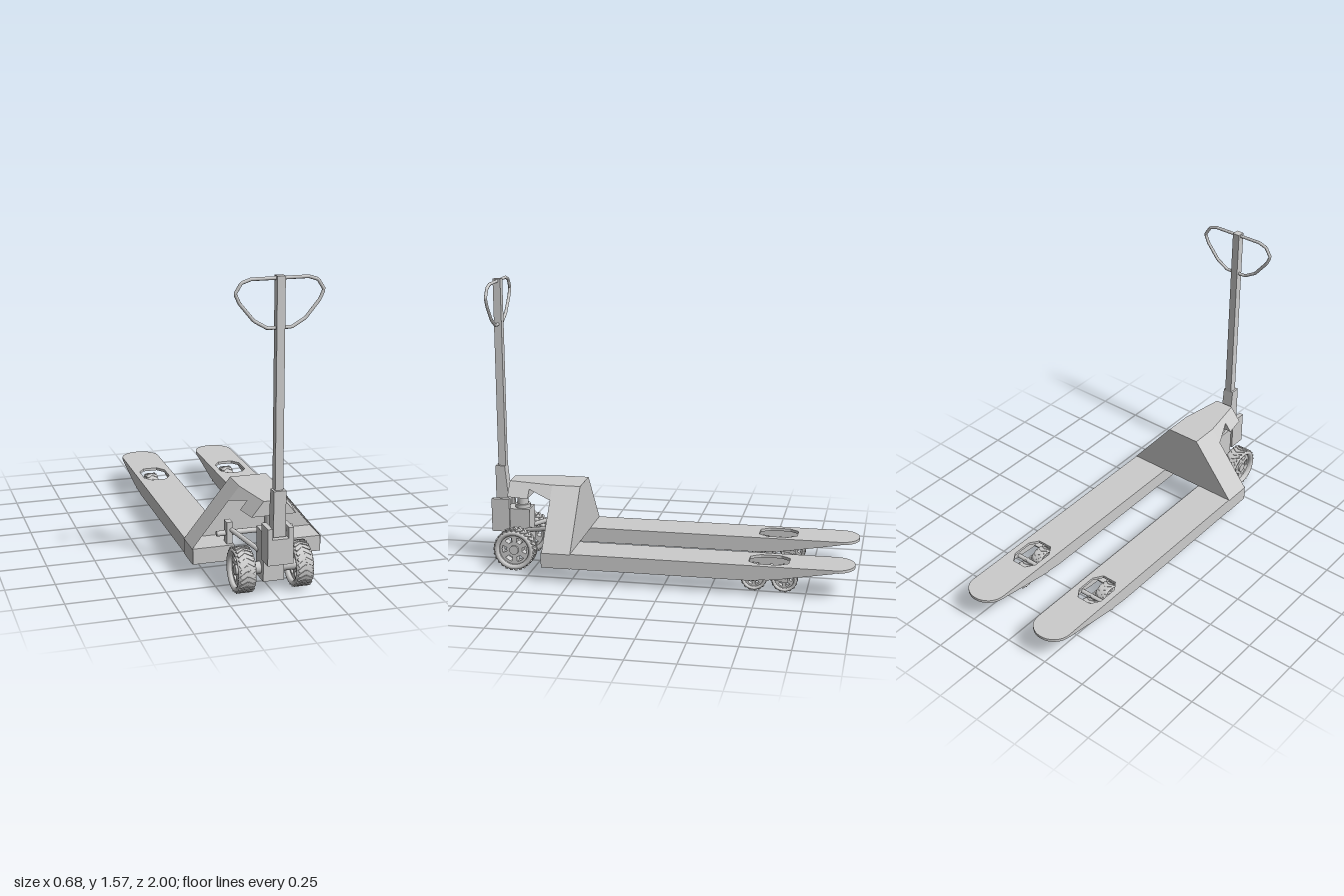
import * as THREE from 'three';
import { mergeGeometries } from 'three/addons/utils/BufferGeometryUtils.js';

const V2 = (x, y) => new THREE.Vector2(x, y);
const V3 = (x, y, z) => new THREE.Vector3(x, y, z);
const steel = new THREE.MeshStandardMaterial({ color: 0xcccccc, side: THREE.DoubleSide });

function add(parent, name, geometry, x = 0, y = 0, z = 0) {
  const mesh = new THREE.Mesh(geometry, steel);
  mesh.name = name;
  mesh.position.set(x, y, z);
  parent.add(mesh);
  return mesh;
}

// Box given by its minimum and maximum on each axis
function block(parent, name, [x0, x1], [y0, y1], [z0, z1]) {
  return add(parent, name, new THREE.BoxGeometry(x1 - x0, y1 - y0, z1 - z0),
    (x0 + x1) / 2, (y0 + y1) / 2, (z0 + z1) / 2);
}

// Cylinder between two points
function rod(parent, name, a, b, r, sides = 16) {
  const mesh = add(parent, name, new THREE.CylinderGeometry(r, r, a.distanceTo(b), sides));
  mesh.position.copy(a).add(b).multiplyScalar(0.5);
  mesh.quaternion.setFromUnitVectors(V3(0, 1, 0), b.clone().sub(a).normalize());
  return mesh;
}

// Flat convex sheet-metal panels, each a list of corners
function sheet(parent, name, panels) {
  const pts = [];
  for (const p of panels)
    for (let i = 1; i < p.length - 1; i++) pts.push(p[0], p[i], p[i + 1]);
  const g = new THREE.BufferGeometry().setFromPoints(pts);
  g.computeVertexNormals();
  return add(parent, name, g);
}

// Side profile (z, y) extruded across x
function sideProfile(parent, name, points, x0, x1) {
  const g = new THREE.ExtrudeGeometry(new THREE.Shape(points.map(([z, y]) => V2(-z, y))),
    { depth: x1 - x0, bevelEnabled: false });
  g.rotateY(Math.PI / 2);
  return add(parent, name, g, x0, 0, 0);
}

// Wheel on the x axis: tyre, chevron tread, pierced disc and hub
function wheel(name, R, w, lugs) {
  const g = new THREE.Group();
  g.name = name;
  const tyre = new THREE.LatheGeometry([
    V2(0.72 * R, -0.36 * w), V2(0.78 * R, -0.47 * w), V2(0.87 * R, -0.5 * w), V2(0.93 * R, -0.45 * w),
    V2(0.965 * R, -0.3 * w), V2(0.975 * R, 0), V2(0.965 * R, 0.3 * w), V2(0.93 * R, 0.45 * w),
    V2(0.87 * R, 0.5 * w), V2(0.78 * R, 0.47 * w), V2(0.72 * R, 0.36 * w), V2(0.72 * R, -0.36 * w),
  ], 40).rotateZ(Math.PI / 2);
  add(g, 'tyre', tyre);

  const tread = [];
  for (let i = 0; i < lugs; i++)
    for (const s of [-1, 1]) {
      const lug = new THREE.BoxGeometry(0.06 * R, 0.5 * w, 0.12 * R);
      lug.rotateX(s * 0.6).translate(0.965 * R, s * 0.2 * w, 0);
      lug.rotateY((i / lugs) * Math.PI * 2).rotateZ(Math.PI / 2);
      tread.push(lug);
    }
  add(g, 'tread', mergeGeometries(tread));

  const disc = new THREE.Shape().absarc(0, 0, 0.74 * R, 0, Math.PI * 2);
  for (let i = 0; i < 6; i++) {
    const a = (i * Math.PI) / 3;
    const hole = new THREE.Path();
    hole.absarc(0, 0, 0.6 * R, a - 0.3, a + 0.3, false);
    hole.absarc(0, 0, 0.38 * R, a + 0.25, a - 0.25, true);
    hole.closePath();
    disc.holes.push(hole);
  }
  const discGeo = new THREE.ExtrudeGeometry(disc, { depth: 0.5 * w, bevelEnabled: false, curveSegments: 10 });
  add(g, 'wheelDisc', discGeo.translate(0, 0, -0.25 * w).rotateY(Math.PI / 2));
  add(g, 'hub', new THREE.CylinderGeometry(0.22 * R, 0.22 * R, 0.75 * w, 20).rotateZ(Math.PI / 2));
  return g;
}

// Hollow fork with slotted top, tapered flanges and tandem load wheels
function fork(cx) {
  const g = new THREE.Group();
  g.name = 'fork';
  const h = 0.107, zf = 0.65;
  const top = new THREE.Shape();
  top.moveTo(-h, -zf);
  top.lineTo(h, -zf);
  top.lineTo(h, 0.9);
  top.absellipse(0, 0.9, h, 0.1, 0, Math.PI, false);
  top.closePath();
  top.holes.push(new THREE.Path([
    [-0.04, 0.45], [0.04, 0.45], [0.074, 0.5], [0.074, 0.61],
    [0.04, 0.66], [-0.04, 0.66], [-0.074, 0.61], [-0.074, 0.5]].map(([x, z]) => V2(x, z))));
  const topGeo = new THREE.ExtrudeGeometry(top, { depth: 0.015, bevelEnabled: false, curveSegments: 8 });
  add(g, 'forkTop', topGeo.rotateX(-Math.PI / 2), 0, 0.152, 0);
  const flange = [[zf, 0.085], [-0.45, 0.085], [-0.6, 0.098], [-0.9, 0.15], [-0.9, 0.16], [zf, 0.16]];
  for (const s of [-1, 1])
    sideProfile(g, 'forkFlange', flange, s * (h - 0.004) - 0.004, s * (h - 0.004) + 0.004);
  block(g, 'forkBottom', [-h, h], [0.085, 0.093], [-0.43, zf]);
  block(g, 'forkEndCap', [-h, h], [0.085, 0.166], [zf - 0.008, zf]);

  for (const z of [-0.475, -0.635]) {
    const w = wheel('loadWheel', 0.07, 0.066, 16);
    w.position.set(0, 0.073, z);
    g.add(w);
    rod(g, 'loadAxle', V3(-0.045, 0.073, z), V3(0.045, 0.073, z), 0.012);
  }
  // Rocker links either side of the wheel pair, and their pivot
  for (const s of [-1, 1])
    sideProfile(g, 'rockerLink', [[-0.455, 0.06], [-0.53, 0.073], [-0.58, 0.073], [-0.655, 0.06],
      [-0.655, 0.087], [-0.6, 0.108], [-0.51, 0.108], [-0.455, 0.087]], s * 0.039 - 0.004, s * 0.039 + 0.004);
  rod(g, 'rockerPivot', V3(-h, 0.1, -0.555), V3(h, 0.1, -0.555), 0.012);
  g.position.x = cx;
  return g;
}

export function createModel() {
  const model = new THREE.Group();
  model.name = 'palletTruck';
  for (const s of [-1, 1]) model.add(fork(s * 0.228));

  // Hollow sloped body, open to the front and below
  const zb = 0.49, zm = 0.645, yt = 0.47, yb = 0.165;
  const body = new THREE.Group();
  body.name = 'body';
  model.add(body);
  const panels = [
    [V3(-0.338, yb, zb), V3(-0.095, yt, zb), V3(0.095, yt, zb), V3(0.338, yb, zb)],
    [V3(-0.095, yt, zb), V3(-0.095, yt, zm), V3(0.095, yt, zm), V3(0.095, yt, zb)],
  ];
  for (const s of [-1, 1]) {
    panels.push([V3(s * 0.095, yt, zb), V3(s * 0.338, yb, zb), V3(s * 0.338, yb, zm), V3(s * 0.095, yt, zm)]);
    panels.push([V3(s * 0.338, yb, zb), V3(s * 0.338, 0.085, zb), V3(s * 0.338, 0.085, zm), V3(s * 0.338, yb, zm)]);
  }
  sheet(body, 'bodyShell', panels);

  // Tapering neck reaching forward over the lift cylinder
  const zh = 0.775, zn = 0.895;
  const n = (s, y, z) => V3(s * (0.095 - (0.043 * (z - zm)) / (zn - zm) + 0.8 * (yt - y)), y, z);
  const neck = [
    [n(-1, yt, zm), n(-1, yt, zn), n(1, yt, zn), n(1, yt, zm)],
    [n(-1, yt, zn), n(-1, 0.395, zn), n(1, 0.395, zn), n(1, yt, zn)],
    [n(-1, 0.395, zh), n(-1, 0.395, zn), n(1, 0.395, zn), n(1, 0.395, zh)],
    [n(-1, 0.44, zh), n(-1, 0.395, zh), n(1, 0.395, zh), n(1, 0.44, zh)],
  ];
  for (const s of [-1, 1]) {
    neck.push([n(s, yt, zm), n(s, 0.4, zm), n(s, 0.44, zh), n(s, yt, zh)]);
    neck.push([n(s, yt, zh), n(s, 0.395, zh), n(s, 0.395, zn), n(s, yt, zn)]);
  }
  sheet(body, 'neck', neck);

  // Steering block, lift cylinder and clevis
  const steer = new THREE.Group();
  steer.name = 'steeringUnit';
  model.add(steer);
  block(steer, 'pumpBlock', [-0.053, 0.053], [0.06, 0.31], [0.79, 0.9]);
  rod(steer, 'liftCylinder', V3(0, 0.3, 0.84), V3(0, 0.33, 0.84), 0.042, 24);
  rod(steer, 'liftPiston', V3(0, 0.32, 0.84), V3(0, 0.4, 0.84), 0.03, 24);
  block(steer, 'clevisBase', [-0.065, 0.065], [0.18, 0.31], [0.9, 1]);
  for (const s of [-1, 1])
    block(steer, 'clevisEar', [s * 0.053 - 0.012, s * 0.053 + 0.012], [0.31, 0.365], [0.9, 1]);
  rod(steer, 'clevisPin', V3(-0.06, 0.34, 0.95), V3(0.06, 0.34, 0.95), 0.012);

  // Steering wheels and axle
  rod(steer, 'steerAxle', V3(-0.15, 0.115, 0.845), V3(0.15, 0.115, 0.845), 0.03, 20);
  for (const s of [-1, 1]) {
    const w = wheel('steerWheel', 0.114, 0.092, 26);
    w.position.set(s * 0.147, 0.115, 0.845);
    steer.add(w);
  }

  // Lift linkage running back into the body
  for (const s of [-1, 1]) {
    rod(model, 'liftArm', V3(s * 0.045, 0.19, 0.81), V3(s * 0.14, 0.245, 0.6), 0.013, 8);
    block(model, 'liftLug', [s * 0.14 - 0.015, s * 0.14 + 0.015], [0.165, 0.28], [0.58, 0.63]);
  }
  rod(model, 'liftShaft', V3(-0.2, 0.215, 0.6), V3(0.2, 0.215, 0.6), 0.014, 12);

  // Drawbar with loop grip
  const handle = new THREE.Group();
  handle.name = 'handle';
  model.add(handle);
  sideProfile(handle, 'handleSocket',
    [[0.982, 0.315], [0.982, 0.545], [0.93, 0.545], [0.912, 0.36], [0.912, 0.315]], -0.031, 0.031);
  block(handle, 'drawbar', [-0.02, 0.02], [0.54, 1.57], [0.927, 0.968]);
  const half = [[0.14, 1.558], [0.185, 1.543], [0.215, 1.495], [0.195, 1.45], [0.125, 1.365], [0.06, 1.327]];
  const loop = [...half, ...half.map(([x, y]) => [-x, y]).reverse()].map(([x, y]) => V3(x, y, 0.947));
  const path = new THREE.CurvePath();
  loop.forEach((p, i) => path.add(new THREE.LineCurve3(p, loop[(i + 1) % loop.length])));
  add(handle, 'loopGrip', new THREE.TubeGeometry(path, 96, 0.0085, 8, true));

  return model;
}
